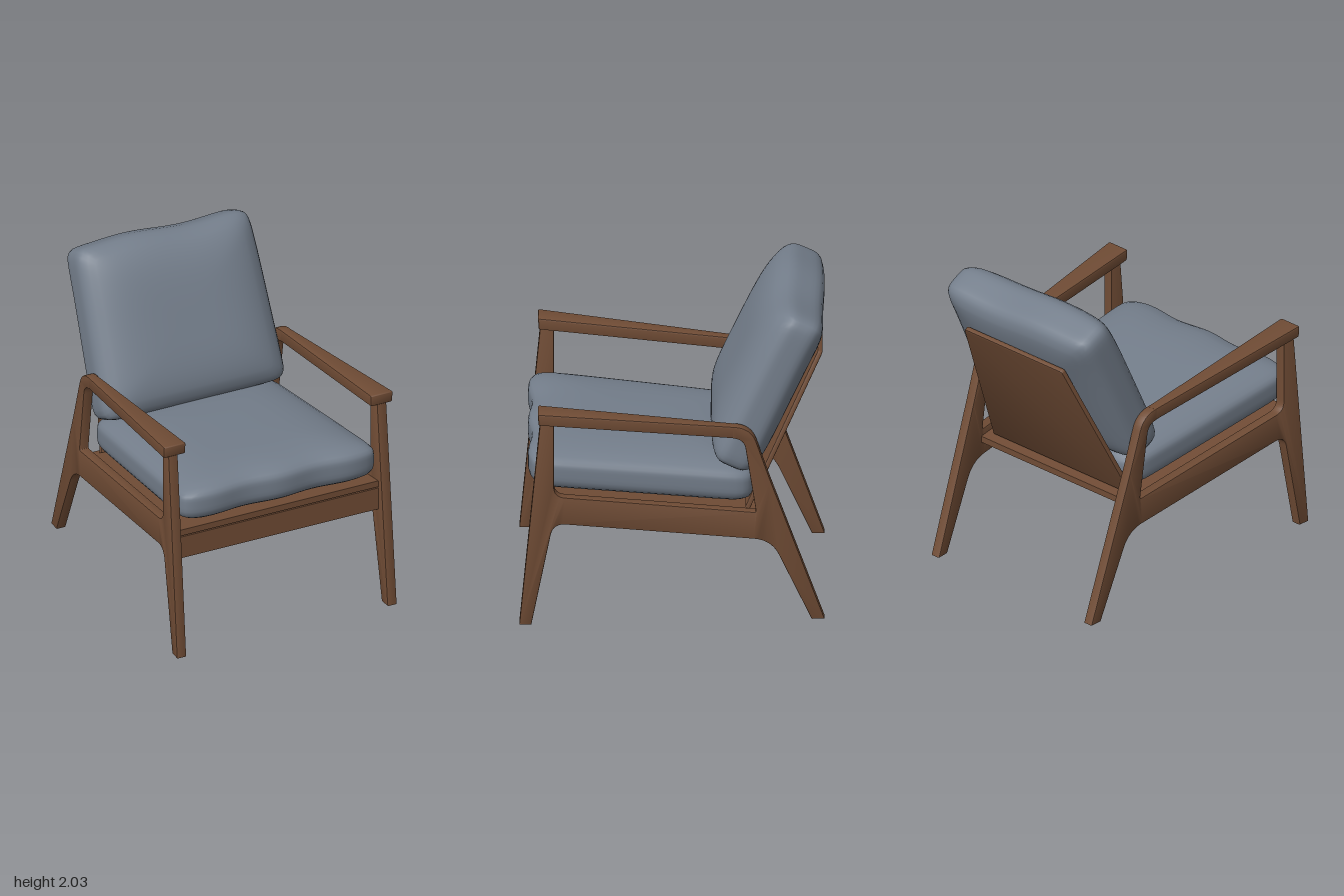
import * as THREE from 'three';
import { mergeVertices, toCreasedNormals } from 'three/addons/utils/BufferGeometryUtils.js';

const wood = new THREE.MeshStandardMaterial({ color: 0x704c35 });
wood.name = 'walnut wood';
const fabric = new THREE.MeshStandardMaterial({ color: 0x747e8b });
fabric.name = 'blue grey fabric';

// The side frames toe in towards the back: x of a frame's middle at depth z
const frameX = (z) => 0.642 + 0.0495 * (z + 0.9);

function addMesh(parent, name, geometry, material) {
  const mesh = new THREE.Mesh(geometry, material);
  mesh.name = name;
  parent.add(mesh);
  return mesh;
}

// Move every vertex by a rule
function warp(geometry, rule) {
  const pos = geometry.attributes.position;
  const v = new THREE.Vector3();
  for (let i = 0; i < pos.count; i++) {
    v.fromBufferAttribute(pos, i);
    rule(v);
    pos.setXYZ(i, v.x, v.y, v.z);
  }
  return geometry;
}

// Polygon from [x, y, fillet] corners
function filletShape(corners) {
  const shape = new THREE.Shape();
  const n = corners.length;
  corners.forEach(([x, y, r = 0], i) => {
    const p = new THREE.Vector2(x, y);
    const towards = (c) => new THREE.Vector2(c[0], c[1]).sub(p).setLength(r).add(p);
    const a = r ? towards(corners[(i + n - 1) % n]) : p;
    if (i === 0) shape.moveTo(a.x, a.y);
    else shape.lineTo(a.x, a.y);
    if (r) {
      const b = towards(corners[(i + 1) % n]);
      shape.quadraticCurveTo(x, y, b.x, b.y);
    }
  });
  shape.closePath();
  return shape;
}

// Board with softened edges, centred on z = 0
function board(shape, thickness, bevel) {
  return new THREE.ExtrudeGeometry(shape, {
    depth: thickness - 2 * bevel, curveSegments: 8,
    bevelThickness: bevel, bevelSize: bevel, bevelOffset: -bevel, bevelSegments: 2,
  }).translate(0, 0, bevel - thickness / 2);
}

// Board drawn in side profile as [z, y, fillet], standing in the z-y plane
function sideBoard(profile, thickness, bevel) {
  const shape = filletShape(profile.map(([z, y, r]) => [-z, y, r]));
  return board(shape, thickness, bevel).rotateY(Math.PI / 2);
}

// Soft cushion in a -1..1 cube (a, b across, t through), shaped by a rule
function cushion(thin, rule) {
  const segs = { x: 28, y: 28, z: 28, [thin]: 12 };
  const geo = new THREE.BoxGeometry(2, 2, 2, segs.x, segs.y, segs.z);
  geo.deleteAttribute('uv');
  geo.deleteAttribute('normal');
  const other = thin === 'y' ? 'z' : 'y';
  warp(geo, (v) => {
    const outline = Math.pow(Math.abs(v.x) ** 16 + Math.abs(v[other]) ** 16, 1 / 16);
    v.divideScalar(Math.pow(outline ** 4.5 + Math.abs(v[thin]) ** 4.5, 1 / 4.5));
    rule(v);
  });
  const smooth = mergeVertices(geo, 1e-5);
  smooth.computeVertexNormals();
  return smooth;
}

export function createModel() {
  const chair = new THREE.Group();
  chair.name = 'armchair';

  // Legs, post and side rail in one outline
  const frameProfile = [
    [0.965, 0], [0.835, 1.378], [0.75, 1.37], [0.75, 0.868, 0.07],
    [-0.505, 0.735, 0.015], [-0.43, 1.233, 0.065], [-0.36, 1.24], [-0.36, 1.32],
    [-0.475, 1.308, 0.1], [-0.59, 0.96, 0.03], [-0.93, 0], [-0.85, 0],
    [-0.6, 0.543, 0.11], [0.755, 0.685, 0.08], [0.89, 0],
  ];
  const armProfile = [[0.85, 1.447, 0.015], [-0.375, 1.319], [-0.375, 1.239], [0.845, 1.37, 0.01]];

  for (const side of [1, -1]) {
    const label = side > 0 ? 'left' : 'right';
    const frame = warp(sideBoard(frameProfile, 0.066, 0.007), (v) => {
      v.x += side * frameX(v.z);
    });
    addMesh(chair, label + 'SideFrame', toCreasedNormals(frame, 0.5), wood);

    // Armrest widens towards the front
    const arm = warp(sideBoard(armProfile, 2, 0.012), (v) => {
      const k = (v.z + 0.375) / 1.225;
      const half = THREE.MathUtils.lerp(0.033, 0.0775, k);
      const edge = Math.sign(v.x) * (half - (1 - Math.abs(v.x)));
      v.x = side * THREE.MathUtils.lerp(0.668, 0.7225, k) + edge;
    });
    addMesh(chair, label + 'Armrest', toCreasedNormals(arm, 0.5), wood);
  }

  // Seat base: front rail and a sloping board between the frames
  const rail = new THREE.BoxGeometry(1.4, 0.15, 0.05).translate(0, 0.71, 0.825);
  addMesh(chair, 'frontRail', rail, wood);
  const seatBoard = warp(new THREE.BoxGeometry(2, 0.042, 1.37).translate(0, 0, 0.165), (v) => {
    v.x *= frameX(v.z) - 0.03;
    v.y += 0.814 + 0.106 * (v.z - 0.85);
  });
  seatBoard.computeVertexNormals();
  addMesh(chair, 'seatBoard', seatBoard, wood);

  // Seat cushion: flat below, crowned on top
  const seat = cushion('y', (v) => {
    const crown = 0.72 + 0.28 * (1 - v.x ** 4) * (1 - 0.7 * v.z ** 4);
    const z = 0.205 + v.z * (0.695 + 0.012 * Math.cos(v.x * 9));
    v.x *= frameX(z) - 0.042;
    v.y = 0.945 + 0.1 * (z - 0.21) + v.y * (v.y > 0 ? 0.15 * crown : 0.155);
    v.z = z;
  });
  addMesh(chair, 'seatCushion', seat, fabric);

  // Reclined back: tapered panel and cushion
  const back = new THREE.Group();
  back.name = 'backrest';
  back.position.set(0, 1, -0.565);
  back.rotation.x = -0.4285;
  chair.add(back);

  const panelShape = filletShape([
    [-0.575, -0.31], [0.575, -0.31], [0.41, 0.78, 0.02], [-0.41, 0.78, 0.02],
  ]);
  const panel = board(panelShape, 0.032, 0.006).translate(0, 0, -0.016);
  addMesh(back, 'backPanel', toCreasedNormals(panel, 0.5), wood);

  const backCushion = cushion('z', (v) => {
    const { x, y, z } = v;
    const plump = (1 - x ** 4) * (1 - 0.6 * y ** 4);
    const depth = z > 0 ? 0.15 + 0.065 * plump : 0.165 + 0.035 * plump;
    v.x = x * (0.622 - 0.018 * y);
    v.y = 0.45 + y * 0.55 - 0.012 * x * (y + 1) / 2 - 0.01 * Math.sin(x * 5) * (y > 0 ? y : 0);
    v.z = 0.2 + z * depth - 0.02 * Math.max(0, y) ** 3;
  });
  addMesh(back, 'backCushion', backCushion, fabric);

  return chair;
}
